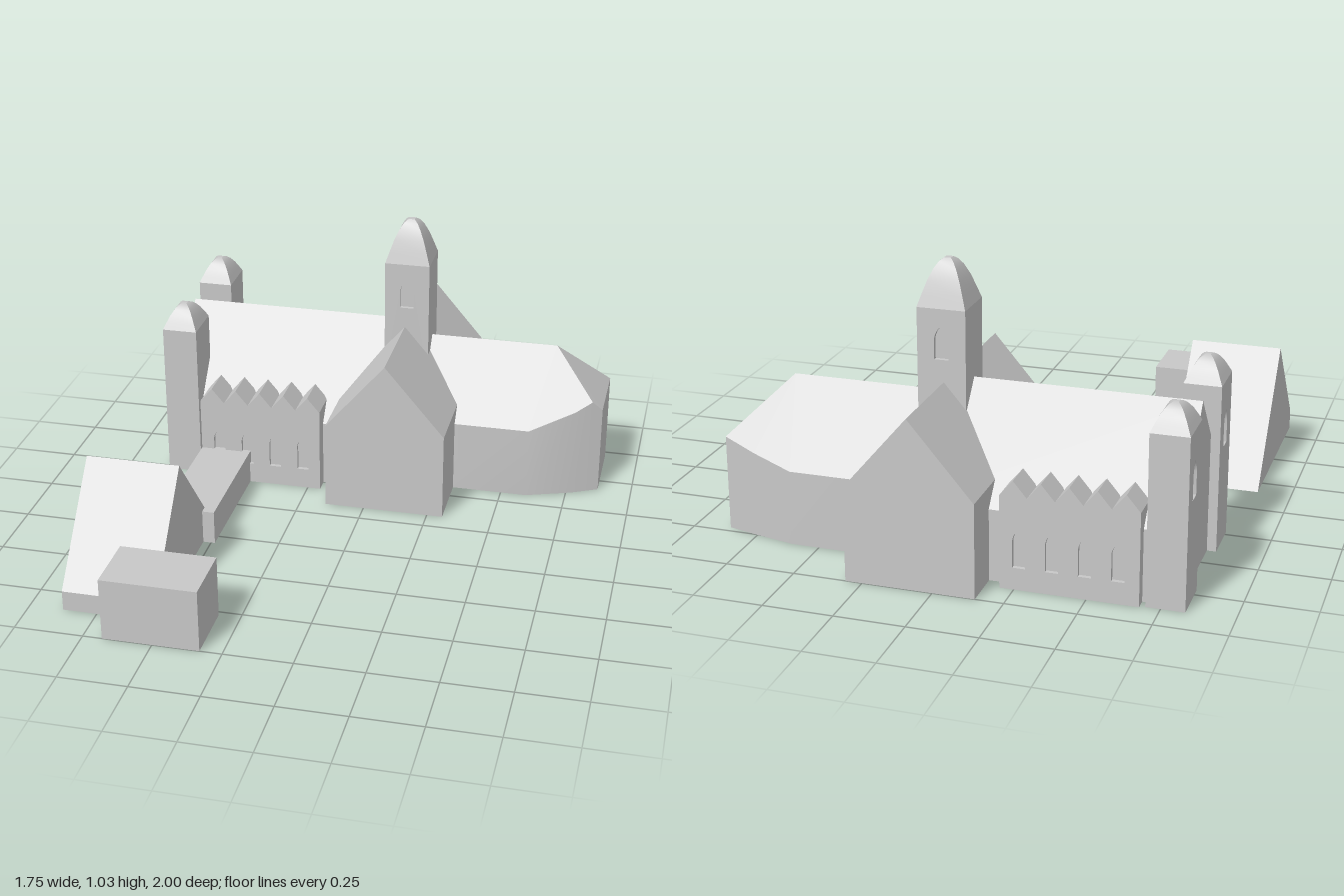
import * as THREE from 'three';
import { toCreasedNormals } from 'three/addons/utils/BufferGeometryUtils.js';

const stone = new THREE.MeshStandardMaterial({ color: 0xc8c8c8 });
const CZ = -0.55;      // z of the church's long axis
const RECESS = 0.015;  // depth of window niches

function add(parent, name, geometry) {
  const mesh = new THREE.Mesh(toCreasedNormals(geometry, 0.5), stone);
  mesh.name = name;
  parent.add(mesh);
  return mesh;
}

// Box given by its limits
function block(parent, name, x0, x1, y0, y1, z0, z1) {
  const g = new THREE.BoxGeometry(x1 - x0, y1 - y0, z1 - z0);
  g.translate((x0 + x1) / 2, (y0 + y1) / 2, (z0 + z1) / 2);
  return add(parent, name, g);
}

function outline(points) {
  return new THREE.Shape(points.map(([x, y]) => new THREE.Vector2(x, y)));
}

function extrude(shape, depth) {
  return new THREE.ExtrudeGeometry(shape, { depth, bevelEnabled: false, curveSegments: 4 });
}

// Pointed-arch window opening
function lancet(x, y0, y1, w) {
  const h = w / 2, spring = y1 - w * 0.9;
  const p = new THREE.Path();
  p.moveTo(x - h, y0);
  p.lineTo(x + h, y0);
  p.lineTo(x + h, spring);
  p.quadraticCurveTo(x + h * 0.8, y1 - w * 0.35, x, y1);
  p.quadraticCurveTo(x - h * 0.8, y1 - w * 0.35, x - h, spring);
  p.closePath();
  return p;
}

// Square tower with a curved cap; windowed sides are pierced panels on a smaller core
function tower(parent, name, o) {
  const group = new THREE.Group();
  group.name = name;
  group.position.set(o.x, 0, o.z);
  const inset = (side) => (o.sides.includes(side) ? RECESS : 0);
  block(group, 'shaft', -o.hx + inset('west'), o.hx, o.base, o.eave,
    -o.hz + inset('back'), o.hz - inset('front'));
  const turn = { front: 0, west: -Math.PI / 2, back: Math.PI };
  for (const side of o.sides) {
    const half = side === 'west' ? o.hz : o.hx;
    const reach = side === 'west' ? o.hx : o.hz;
    const wall = outline([[-half, o.base], [half, o.base], [half, o.eave], [-half, o.eave]]);
    wall.holes.push(lancet(0, o.sill, o.head, 0.052));
    const g = extrude(wall, RECESS);
    g.translate(0, 0, reach - RECESS);
    g.rotateY(turn[side]);
    add(group, side + 'WindowWall', g);
  }
  const rise = o.top - o.eave;
  const profile = [[1, 0], [0.84, 0.27], [0.66, 0.56], [0.46, 0.8], [0.3, 0.93], [0.14, 1], [0, 1]]
    .map(([r, t]) => new THREE.Vector2(r * Math.SQRT2, t));
  const cap = new THREE.LatheGeometry(profile, 4);
  cap.rotateY(Math.PI / 4);
  cap.scale(o.hx, rise, o.hz);
  cap.translate(0, o.eave, 0);
  add(group, 'cap', cap);
  parent.add(group);
}

// Aisle with a row of small cross gables and four niches; dir is +1 front, -1 back
function aisle(parent, name, inner, outer, dir) {
  const x0 = -0.68, x1 = -0.2, n = 5, w = (x1 - x0) / n;
  const pts = [[x0, 0], [x1, 0]];
  for (let i = n; i > 0; i--) {
    pts.push([x0 + i * w, 0.335], [x0 + (i - 0.5) * w, 0.392]);
  }
  pts.push([x0, 0.335]);
  const group = new THREE.Group();
  group.name = name;
  const body = extrude(outline(pts), outer - inner - RECESS);
  body.translate(0, 0, dir > 0 ? inner : -outer + RECESS);
  add(group, 'gabledBody', body);
  const front = outline(pts);
  for (let i = 0; i < 4; i++) front.holes.push(lancet(-0.268 - i * 0.113, 0.08, 0.22, 0.045));
  const wall = extrude(front, RECESS);
  wall.translate(0, 0, dir > 0 ? outer - RECESS : -outer);
  add(group, 'windowWall', wall);
  group.position.z = CZ;
  parent.add(group);
}

// Choir: plan polygon with walls rising to a ridge roof hipped at the east end
function choir(parent) {
  const ridge = 0.55, hipX = 0.67;
  const roofY = (x, z) => Math.min(ridge - 1.17 * Math.abs(z - CZ), ridge - Math.max(0, x - hipX));
  const plan = [[0.1, -0.32], [0.6, -0.32], [0.77, -0.38], [0.832, -0.411], [0.87, -0.43],
    [0.87, -0.721], [0.75, -0.752], [0.6, -0.785], [0.1, -0.785]];
  const top = plan.map(([x, z]) => [x, roofY(x, z), z]);
  const low = plan.map(([x, z]) => [x, 0, z]);
  const r0 = [0.1, ridge, CZ], r1 = [hipX, ridge, CZ];
  const pos = [];
  const fan = (...p) => {
    for (let i = 1; i < p.length - 1; i++) pos.push(...p[0], ...p[i], ...p[i + 1]);
  };
  for (let i = 0; i < plan.length - 1; i++) fan(low[i], low[i + 1], top[i + 1], top[i]);
  fan(r1, r0, top[0], top[1], top[2], top[3]);
  fan(r1, top[3], top[4], top[5]);
  fan(r1, top[5], top[6], top[7], top[8], r0);
  fan(...low.slice().reverse());
  fan(low[8], low[0], top[0], r0, top[8]);
  const g = new THREE.BufferGeometry();
  g.setAttribute('position', new THREE.Float32BufferAttribute(pos, 3));
  add(parent, 'choir', g);
}

export function createModel() {
  const model = new THREE.Group();
  model.name = 'church';

  // Nave, gabled along x
  const nave = extrude(outline([[-0.3, 0], [0.3, 0], [0.3, 0.26], [0, 0.61], [-0.3, 0.26]]), 0.9);
  nave.rotateY(Math.PI / 2);
  nave.translate(-0.8, 0, CZ);
  add(model, 'nave', nave);

  // Transept, gabled along z
  const transept = extrude(outline([[-0.23, 0], [0.23, 0], [0.23, 0.34], [0, 0.61], [-0.23, 0.34]]), 0.92);
  transept.translate(0.08, 0, -1);
  add(model, 'transept', transept);

  choir(model);
  aisle(model, 'frontAisle', 0.225, 0.358, 1);
  aisle(model, 'backAisle', 0.23, 0.343, -1);

  // Towers
  tower(model, 'crossingTower', { x: 0.087, z: CZ, hx: 0.087, hz: 0.087, base: 0.4, eave: 0.87,
    top: 1.03, sides: ['front', 'back'], sill: 0.69, head: 0.81 });
  for (const [name, z] of [['frontWestTower', -0.315], ['backWestTower', -0.8]]) {
    tower(model, name, { x: -0.766, z, hx: 0.067, hz: 0.085, base: 0, eave: 0.61,
      top: 0.697, sides: ['west'], sill: 0.37, head: 0.5 });
  }

  // Annexes in front
  block(model, 'corridor', -0.68, -0.485, 0, 0.13, -0.22, 0.3);
  const house = extrude(outline([[-0.857, 0], [-0.16, 0], [-0.535, 0.447], [-0.857, 0.075]]), 0.345);
  house.rotateY(Math.PI / 2);
  house.translate(-0.875, 0, 0);
  add(model, 'steepRoofedHouse', house);
  block(model, 'outbuilding', -0.68, -0.33, 0, 0.235, 0.77, 1);

  return model;
}
